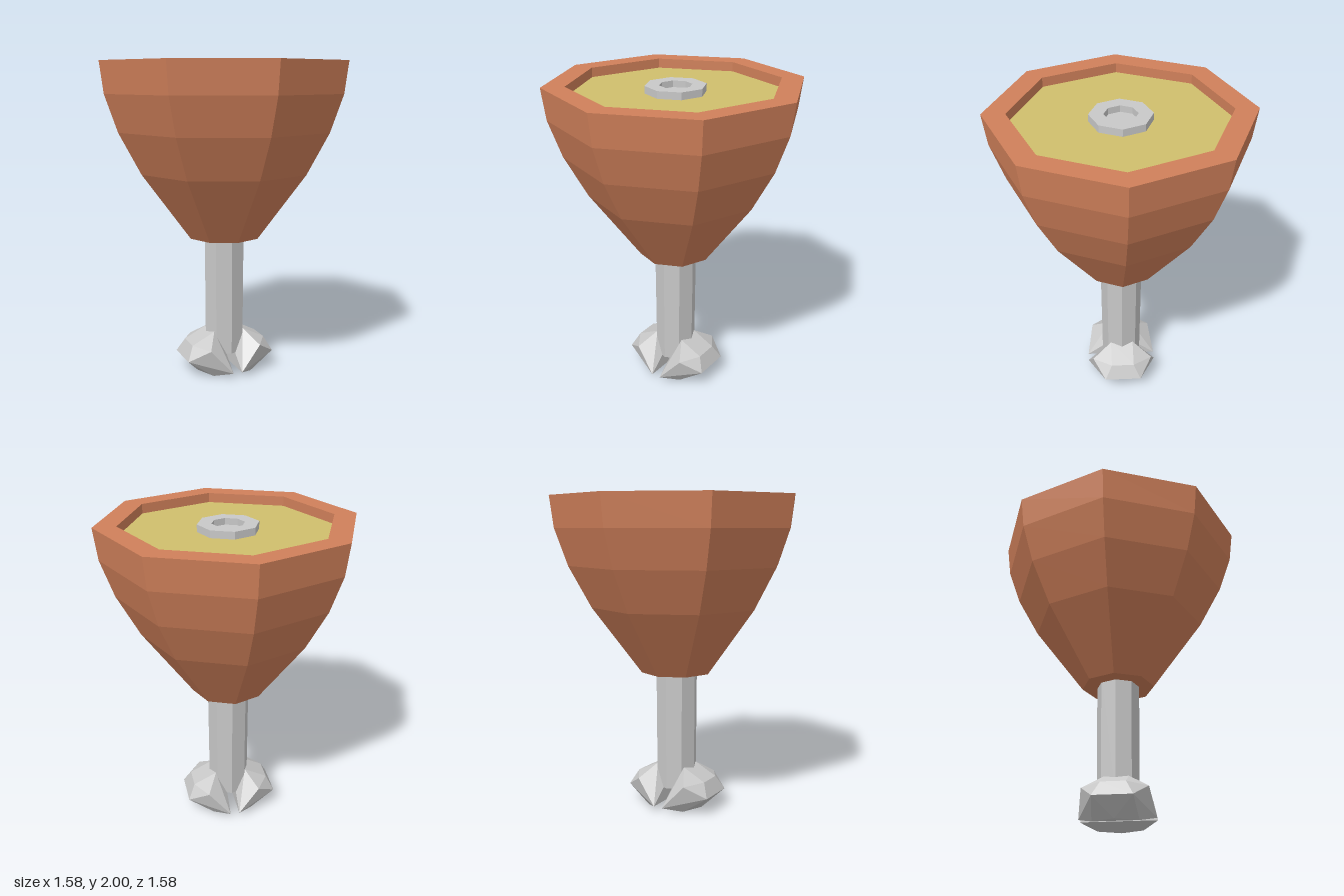
import * as THREE from 'three';
import { ConvexGeometry } from 'three/addons/geometries/ConvexGeometry.js';

const SIDES = 8;

function flat(name, color) {
  const m = new THREE.MeshStandardMaterial({ color, flatShading: true });
  m.name = name;
  return m;
}

// Octagonal solid from [radius, height] pairs, listed bottom to top
function turned(name, profile, material) {
  const points = profile.map(([r, y]) => new THREE.Vector2(r, y));
  const mesh = new THREE.Mesh(new THREE.LatheGeometry(points, SIDES), material);
  mesh.name = name;
  return mesh;
}

export function createModel() {
  const group = new THREE.Group();
  group.name = 'drumstick';
  const crust = flat('roasted brown', 0xd0805a);
  const flesh = flat('pale yellow', 0xd0bf6c);
  const bone = flat('bone grey', 0xc8c8c8);

  // Roasted outside with a raised rim around the cut
  group.add(turned('meat', [
    [0, 0.89], [0.23, 0.89], [0.545, 1.315], [0.685, 1.575],
    [0.765, 1.805], [0.79, 2], [0.65, 2], [0.65, 1.93],
  ], crust));

  // Sunken cut face
  group.add(turned('cutFace', [[0.65, 1.94], [0, 1.94]], flesh));

  // Hollow bone end in the cut
  group.add(turned('boneRing', [
    [0.187, 1.93], [0.187, 1.985], [0.1, 1.985], [0.1, 1.945], [0, 1.945],
  ], bone));

  // Bone shaft
  group.add(turned('boneShaft', [[0, 0.13], [0.13, 0.13], [0.135, 0.95]], bone));

  // Two faceted knuckles, mirrored left and right; z is mirrored too
  const corners = [
    [0.1, 0.275, 0.075], [0.17, 0.19, 0.2], [0.25, 0.2, 0.075],
    [0.295, 0.11, 0.12], [0.19, 0, 0], [0.13, 0, 0.14],
    [0.03, 0.035, 0.235], [0.03, 0.14, 0.1],
  ];
  for (const side of [1, -1]) {
    const points = corners.flatMap(([x, y, z]) =>
      (z ? [z, -z] : [0]).map((d) => new THREE.Vector3(side * x, y, d)));
    const knuckle = new THREE.Mesh(new ConvexGeometry(points), bone);
    knuckle.name = side > 0 ? 'leftKnuckle' : 'rightKnuckle';
    group.add(knuckle);
  }
  return group;
}
